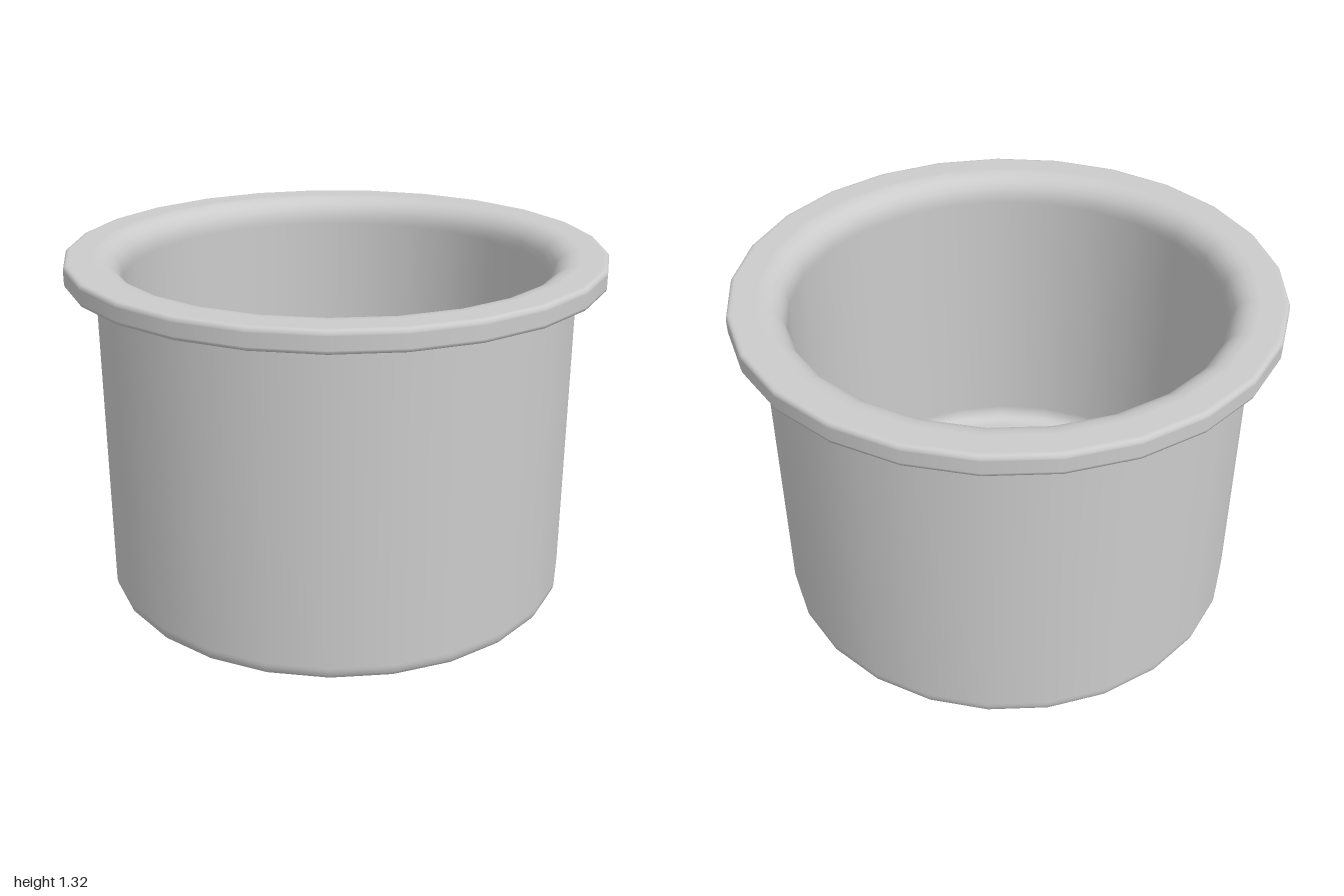
import * as THREE from 'three';

// Quarter-round fillet points around (cx, cy), angles in degrees
function arc(cx, cy, r, from, to, steps = 4) {
  return Array.from({ length: steps + 1 }, (_, i) => {
    const a = THREE.MathUtils.degToRad(from + ((to - from) * i) / steps);
    return new THREE.Vector2(cx + r * Math.cos(a), cy + r * Math.sin(a));
  });
}

export function createModel() {
  const group = new THREE.Group();
  group.name = 'flangedCup';
  const p = (x, y) => new THREE.Vector2(x, y);

  // Closed section: base, outer wall, flange, rounded lip, inner wall, floor
  const profile = [
    p(0, 0),
    p(0.835, 0),
    ...arc(0.845, 0.048, 0.048, -90, 0),
    p(0.893, 0.06),
    p(0.893, 1.2),
    ...arc(0.913, 1.215, 0.02, 180, 90),
    p(0.92, 1.235),
    p(0.985, 1.235),
    ...arc(0.99, 1.247, 0.012, -90, 0, 2),
    p(1.002, 1.25),
    p(1.002, 1.297),
    ...arc(0.987, 1.3, 0.015, 0, 90, 3),
    p(0.98, 1.315),
    p(0.9, 1.315),
    ...arc(0.89, 1.225, 0.09, 90, 180, 6),
    p(0.8, 1.21),
    p(0.8, 0.15),
    ...arc(0.75, 0.14, 0.05, 0, -90),
    p(0.74, 0.09),
    p(0, 0.09),
  ];

  const cup = new THREE.Mesh(
    new THREE.LatheGeometry(profile, 25, Math.PI / 2),
    new THREE.MeshStandardMaterial({ color: 0xcccccc })
  );
  cup.name = 'cup';
  cup.position.x = -0.004; // centres the odd-sided outline
  group.add(cup);
  return group;
}
